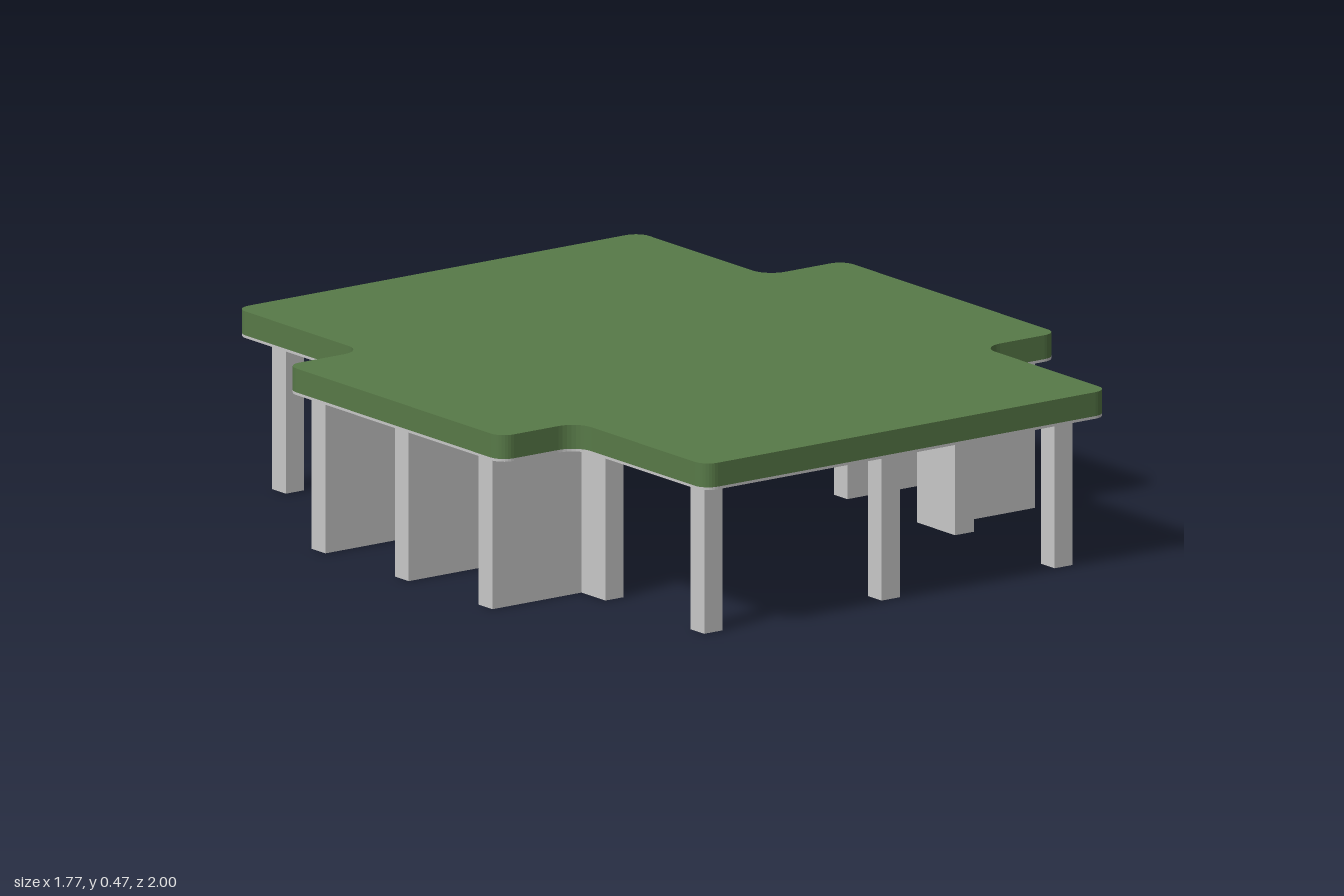
import * as THREE from 'three';

const green = new THREE.MeshStandardMaterial({ color: 0x587a48 });
green.name = 'green';
const grey = new THREE.MeshStandardMaterial({ color: 0xc8c8c8, side: THREE.DoubleSide });
grey.name = 'light grey';

// Cross-shaped outline with rounded outer corners and filleted inner corners
function crossOutline() {
  const X = 0.887, x = 0.643, Z = 1, z = 0.457, r = 0.042, f = 0.06;
  const quarter = [[X, z, r], [x, z, f], [x, Z, r]];
  const flip = (sx, sz) => quarter.map(([a, b, c]) => [a * sx, b * sz, c]);
  const corners = [
    ...flip(1, 1), ...flip(-1, 1).reverse(),
    ...flip(-1, -1), ...flip(1, -1).reverse(),
  ];
  const shape = new THREE.Shape();
  corners.forEach(([cx, cz, rad], i) => {
    const n = corners.length;
    const p = new THREE.Vector2(cx, cz);
    const towards = (q) => new THREE.Vector2(q[0], q[1]).sub(p).setLength(rad).add(p);
    const a = towards(corners[(i + n - 1) % n]);
    const b = towards(corners[(i + 1) % n]);
    if (i === 0) shape.moveTo(a.x, a.y);
    else shape.lineTo(a.x, a.y);
    // circular corner as a cubic curve
    const k = 0.552;
    const c1 = a.clone().lerp(p, k), c2 = b.clone().lerp(p, k);
    shape.bezierCurveTo(c1.x, c1.y, c2.x, c2.y, b.x, b.y);
  });
  shape.closePath();
  return shape;
}

function slab(name, y0, y1, material) {
  const geo = new THREE.ExtrudeGeometry(crossOutline(), {
    depth: y1 - y0, bevelEnabled: false, curveSegments: 8,
  });
  geo.rotateX(-Math.PI / 2);
  geo.translate(0, y0, 0);
  const mesh = new THREE.Mesh(geo, material);
  mesh.name = name;
  return mesh;
}

// Upright hollow support between two x and two z limits, open at both ends
function support(name, x0, x1, z0, z1) {
  const h = 0.4;
  const geo = new THREE.BoxGeometry(x1 - x0, h, z1 - z0);
  const index = Array.from(geo.index.array);
  index.splice(12, 12);
  geo.setIndex(index);
  geo.clearGroups();
  const mesh = new THREE.Mesh(geo, grey);
  mesh.position.set((x0 + x1) / 2, h / 2, (z0 + z1) / 2);
  mesh.name = name;
  return mesh;
}

export function createModel() {
  const model = new THREE.Group();
  model.name = 'platform';

  // Green deck on a thin grey base
  model.add(slab('deck', 0.407, 0.47, green));
  model.add(slab('deckBase', 0.4, 0.407, grey));

  // Square posts along the front and back
  const posts = [
    ['frontLeftPost', 0.56, 0.89], ['frontMiddlePost', 0.01, 0.89], ['frontRightPost', -0.555, 0.89],
    ['backLeftPost', 0.56, -0.865], ['backMiddlePost', 0.01, -0.893], ['backRightPost', -0.555, -0.893],
  ];
  const t = 0.029;
  for (const [name, x, z] of posts) model.add(support(name, x - t, x + t, z - t, z + t));

  // Walls under each side wing: a straight middle one and two L-shaped piers
  for (const [side, inner, mid, outer] of [['left', 0.53, 0.59, 0.86], ['right', -0.525, -0.583, -0.867]]) {
    const span = (a, b) => [Math.min(a, b), Math.max(a, b)];
    model.add(support(side + 'MiddleWall', ...span(inner, outer), -0.02, 0.038));
    for (const [end, z0, z1, z2] of [['Front', 0.335, 0.395, 0.497], ['Back', -0.316, -0.375, -0.476]]) {
      const pier = new THREE.Group();
      pier.name = side + end + 'Pier';
      pier.add(support('pierWall', ...span(mid, outer), ...span(z0, z1)));
      pier.add(support('pierReturn', ...span(inner, mid), ...span(z0, z2)));
      model.add(pier);
    }
  }
  return model;
}
